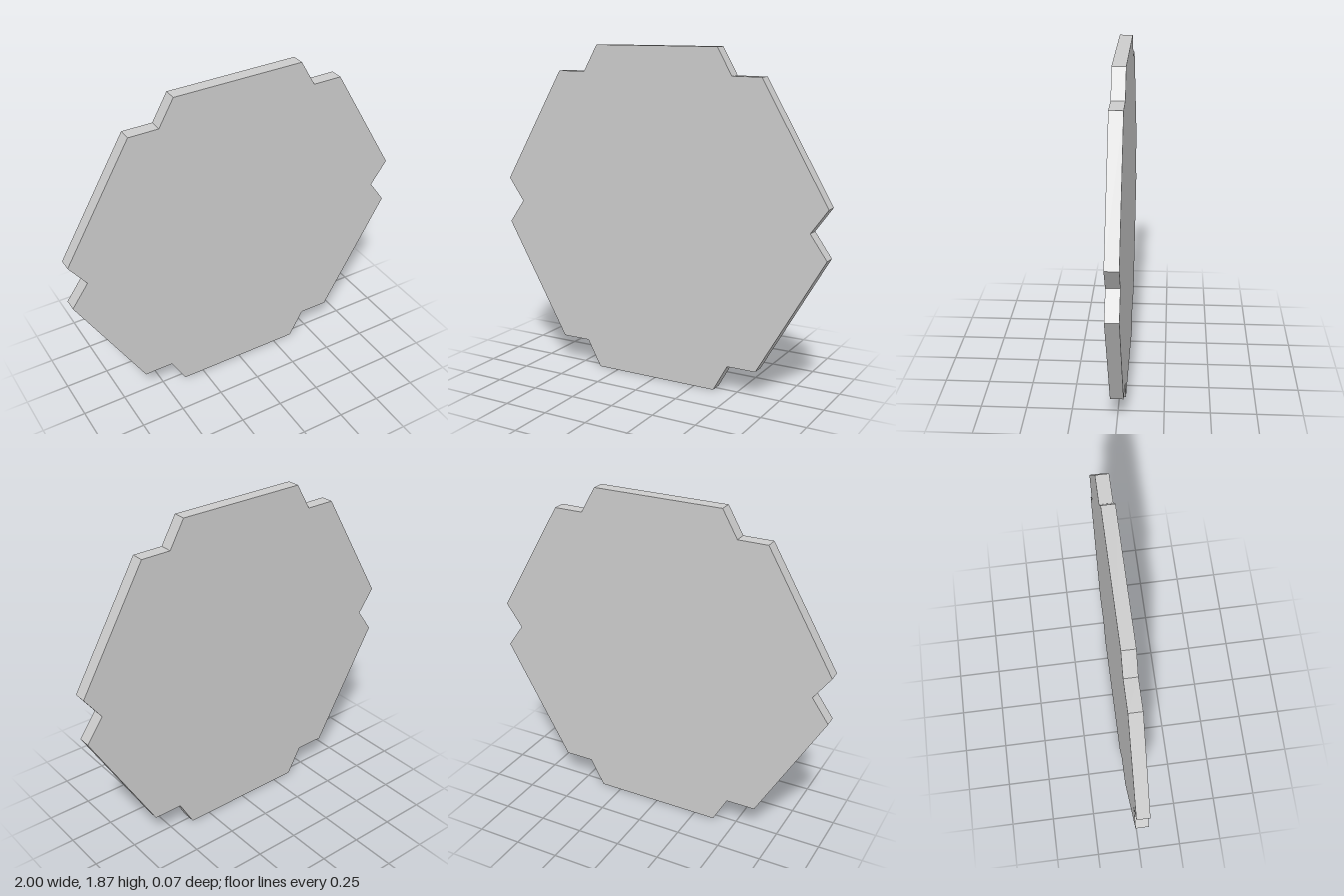
import * as THREE from 'three';

const THICKNESS = 0.072;

// Right half of the outline, bottom to top; mirrored for the left half
const HALF = [
  [0.37, 0], [0.453, 0.15], [0.62, 0.15], [1, 0.81], [0.905, 0.943],
  [1, 1.075], [0.622, 1.72], [0.455, 1.72], [0.37, 1.868],
];

export function createModel() {
  const group = new THREE.Group();
  group.name = 'notchedHexagonPlate';

  const mirrored = HALF.map(([x, y]) => [-x, y]).reverse();
  const outline = [...HALF, ...mirrored].map(([x, y]) => new THREE.Vector2(x, y));

  // Flat hexagonal plate with a notch at each corner
  const geometry = new THREE.ExtrudeGeometry(new THREE.Shape(outline), {
    depth: THICKNESS,
    bevelEnabled: false,
  });
  geometry.translate(0, 0, -THICKNESS / 2);

  const plate = new THREE.Mesh(
    geometry,
    new THREE.MeshStandardMaterial({ color: 0xcccccc, flatShading: true }),
  );
  plate.name = 'plate';
  group.add(plate);
  return group;
}
